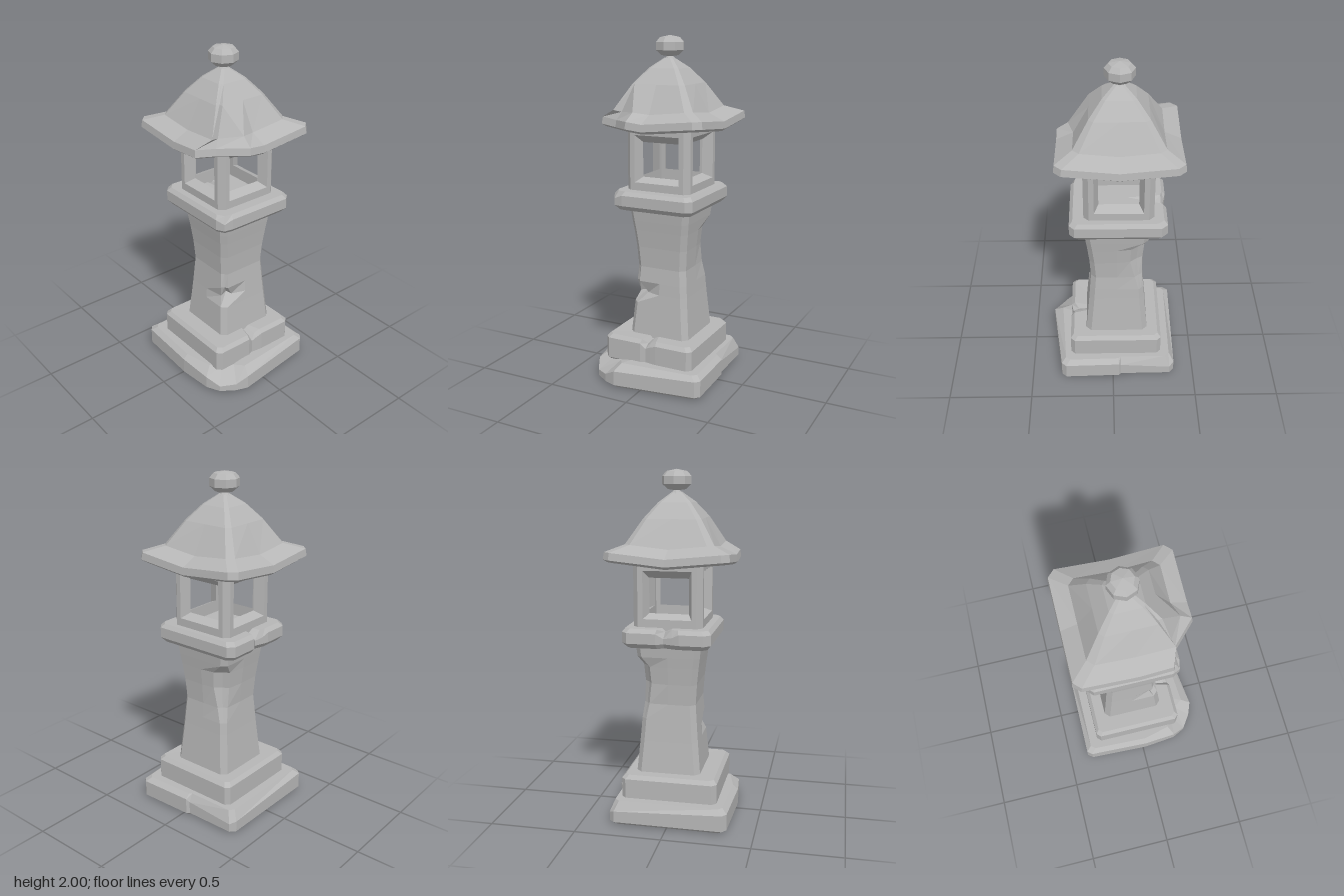
import * as THREE from 'three';

const stone = new THREE.MeshStandardMaterial({ color: 0xb6b6b6 });
stone.name = 'grey stone';

// Flat-faced skin over rings of [x, y, z], optionally closed at both ends
function loft(name, rings, capped = true) {
  const pos = [];
  const tri = (a, b, c) => pos.push(...a, ...b, ...c);
  const n = rings[0].length;
  for (let r = 0; r < rings.length - 1; r++) {
    const a = rings[r], b = rings[r + 1];
    for (let i = 0; i < n; i++) {
      const j = (i + 1) % n;
      tri(a[i], a[j], b[j]);
      tri(a[i], b[j], b[i]);
    }
  }
  if (capped) {
    const centre = ring => [0, 1, 2].map(k => ring.reduce((s, p) => s + p[k], 0) / n);
    const lo = rings[0], hi = rings[rings.length - 1];
    const cl = centre(lo), ch = centre(hi);
    for (let i = 0; i < n; i++) {
      const j = (i + 1) % n;
      tri(cl, lo[j], lo[i]);
      tri(ch, hi[i], hi[j]);
    }
  }
  const g = new THREE.BufferGeometry();
  g.setAttribute('position', new THREE.Float32BufferAttribute(pos, 3));
  g.computeVertexNormals();
  const mesh = new THREE.Mesh(g, stone);
  mesh.name = name;
  return mesh;
}

// Square ring with cut corners: 3 points per corner and 1 per side middle.
// chips maps a point index to an offset [dx, dy, dz]. Corners run
// right-back (0-2), left-back (4-6), left-front (8-10), right-front (12-14).
function ring(y, h, c, cx, cz, sag = 0, chips = {}) {
  const pts = [];
  let quarter = [[h, c - h], [h - c / 2, c / 2 - h], [h - c, -h], [0, -h]];
  for (let k = 0; k < 4; k++) {
    quarter.forEach(([x, z], i) => pts.push([cx + x, y - (i === 3 ? sag : 0), cz + z]));
    quarter = quarter.map(([x, z]) => [z, -x]);
  }
  for (const i in chips) pts[i] = pts[i].map((v, k) => v + chips[i][k]);
  return pts;
}

// Bevelled slab; outline points are [x, z, edgeDrop, topDrop, extraInset]
function slab(name, outline, y0, y1, low, top, cx, cz) {
  const level = (y, inset, key) => outline.map(([x, z, edge = 0, drop = 0, extra = 0]) => {
    const s = 1 - (inset + (key === 'top' ? extra : 0)) / 0.3;
    const dy = key === 'edge' ? edge + drop : key === 'top' ? drop : 0;
    return [cx + (x - cx) * s, y - dy, cz + (z - cz) * s];
  });
  return loft(name, [
    level(y0, low), level(y0 + low, 0), level(y1 - top, 0, 'edge'), level(y1, top, 'top'),
  ]);
}

function createModel() {
  const model = new THREE.Group();
  model.name = 'stoneLantern';

  // Worn foot slab with a broken corner and a split side
  model.add(slab('footSlab', [
    [0.36, 0.29], [0.352, -0.035], [0.338, -0.05, 0.02], [0.335, -0.35, 0.045], [0.305, -0.378, 0.03],
    [-0.32, -0.38], [-0.345, -0.35], [-0.36, 0.02], [-0.34, 0.22, 0.02, 0, 0.02],
    [-0.3, 0.3, 0.05, 0.01, 0.05], [-0.22, 0.355, 0.04, 0.01, 0.05], [-0.15, 0.38, 0.01, 0, 0.02],
    [0.335, 0.318],
  ], 0, 0.14, 0.02, 0.025, 0, 0));

  // Step with a small nick in its front edge
  model.add(slab('step', [
    [0.28, 0.235], [0.28, -0.27], [0.255, -0.295], [-0.25, -0.295], [-0.275, -0.27],
    [-0.275, 0.235], [-0.25, 0.26], [-0.04, 0.26], [-0.01, 0.25, 0, 0.03, 0.02],
    [0.02, 0.255, 0, 0.015], [0.06, 0.26], [0.255, 0.26],
  ], 0.12, 0.275, 0.01, 0.022, 0, -0.017));

  // Waisted shaft with chips on two opposite corners
  const frontChip = {
    8: [0.02, 0, -0.02], 9: [0.05, 0.01, -0.045], 10: [0.05, 0, -0.03],
  };
  const backChip = s => ({
    0: [-0.012 * s, 0, 0.06 * s], 1: [-0.03 * s, 0, 0.035 * s], 2: [-0.035 * s, 0, 0.012 * s],
  });
  const shaft = [
    [0.26, 0.188], [0.46, 0.17], [0.52, 0.165, frontChip], [0.59, 0.16, { 9: [0.005, 0, -0.005] }],
    [0.68, 0.153, backChip(0.3)], [0.8, 0.161, backChip(0.9)], [0.9, 0.172, backChip(1)],
    [0.96, 0.18], [1.05, 0.19],
  ];
  model.add(loft('shaft', shaft.map(([y, h, chips]) => ring(y, h, 0.03, 0.024, -0.024, 0, chips))));

  // Collar under the lamp box, nicked at the back and the lower corners
  model.add(slab('collar', [
    [0.268, 0.215], [0.268, -0.27], [0.235, -0.305], [0.07, -0.305], [0.03, -0.28, 0.01, 0.02, 0.03],
    [-0.02, -0.295, 0.02], [-0.06, -0.305], [-0.2, -0.305], [-0.235, -0.27], [-0.235, 0.19],
    [-0.21, 0.235, 0.02], [-0.16, 0.245], [0.235, 0.245],
  ], 1.03, 1.14, 0.028, 0.022, 0.018, -0.03));

  // Lamp box: four walls, each with a bevelled window
  const lampBox = new THREE.Group();
  lampBox.name = 'lampBox';
  lampBox.position.set(0.02, 0, -0.033);
  const rect = (w, y0, y1, z) => [[-w, y0, z], [w, y0, z], [w, y1, z], [-w, y1, z]];
  for (let k = 0; k < 4; k++) {
    const wall = loft('windowWall', [
      rect(0.182, 1.12, 1.52, 0.182), rect(0.167, 1.12, 1.52, 0.197),
      rect(0.138, 1.185, 1.455, 0.197), rect(0.113, 1.21, 1.41, 0.14),
      rect(0.14, 1.12, 1.52, 0.14),
    ], false);
    wall.rotation.y = k * Math.PI / 2;
    lampBox.add(wall);
  }
  model.add(lampBox);

  // Domed roof with sagging eaves and one corner broken away
  const eaveChip = { 8: [0.005, -0.02, -0.12], 9: [0.095, -0.03, -0.105], 10: [0.205, -0.02, 0] };
  const domeChip = { 8: [0, -0.01, 0], 9: [0.03, -0.02, -0.03], 10: [0.125, -0.01, 0.03] };
  const roof = [
    [1.5, 0.18, 0.03, 0],
    [1.495, 0.225, 0.035, 0.015],
    [1.51, 0.325, 0.035, 0.03, eaveChip],
    [1.525, 0.345, 0.04, 0.03, eaveChip],
    [1.565, 0.34, 0.04, 0.03, eaveChip],
    [1.6, 0.247, 0.035, 0.022, domeChip],
    [1.735, 0.162, 0.025, 0, { 9: [0.01, 0, -0.01] }],
    [1.82, 0.092, 0.018, 0],
    [1.875, 0.026, 0.012, 0],
  ];
  model.add(loft('roof', roof.map(([y, h, c, sag, chips]) => ring(y, h, c, 0.002, -0.035, sag, chips))));

  // Faceted finial on a short neck
  const profile = [[0.035, 1.865], [0.018, 1.885], [0.052, 1.89], [0.083, 1.918],
    [0.083, 1.962], [0.06, 1.988], [0, 2]].map(p => new THREE.Vector2(...p));
  const knob = new THREE.LatheGeometry(profile, 8).toNonIndexed();
  knob.computeVertexNormals();
  const finial = new THREE.Mesh(knob, stone);
  finial.name = 'finial';
  finial.position.set(0.004, 0, -0.038);
  model.add(finial);

  return model;
}

export { createModel };
